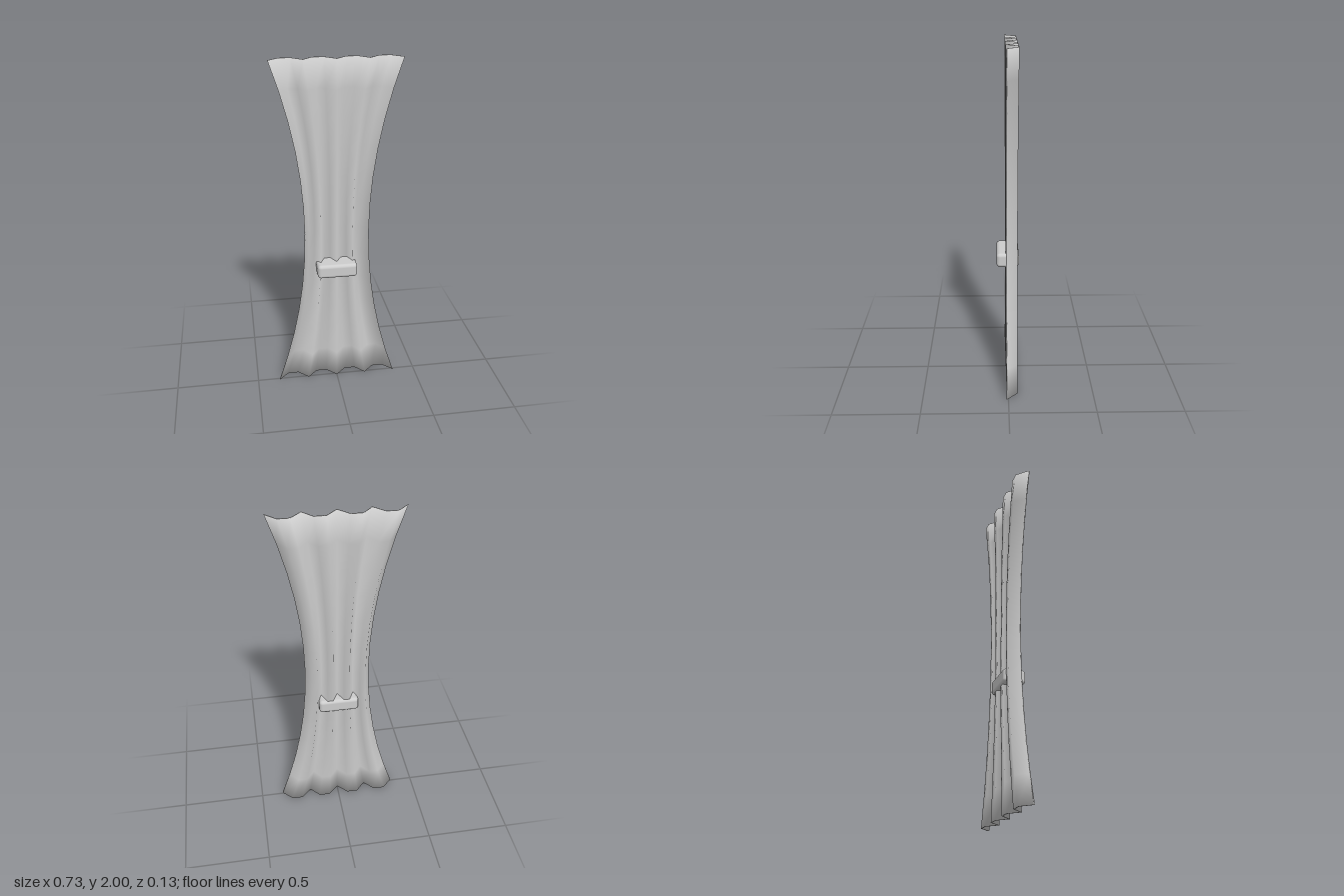
import * as THREE from 'three';
import { RoundedBoxGeometry } from 'three/addons/geometries/RoundedBoxGeometry.js';

const HEIGHT = 2, ROWS = 12, THICK = 0.007;

// Half of the pleat cross-section: [x, z of the front face]
const HALF = [[0.06, -0.048], [0.125, -0.048], [0.18, 0.012], [0.24, -0.048], [0.305, -0.048], [0.365, 0.012]];

function pleatedCloth() {
  const front = [...HALF.map(([x, z]) => [-x, z]).reverse(), [0, 0.012], ...HALF];
  const back = front.map(([x, z]) => [x, z - THICK]).reverse();
  const ring = [...front, ...back];
  const n = ring.length;
  const pos = [], index = [];
  const quad = (a, b, c, d) => index.push(a, b, c, a, c, d);

  // Stack the cross-section, gathered in a parabola toward the waist
  for (let r = 0; r <= ROWS; r++) {
    const t = (r / ROWS) * 2 - 1;
    const gather = 0.515 + 0.485 * t * t;
    for (const [x, z] of ring) pos.push(x * gather, (r / ROWS) * HEIGHT, z);
  }
  for (let r = 0; r < ROWS; r++) {
    for (let k = 0; k < n; k++) {
      const a = r * n + k, b = r * n + (k + 1) % n;
      quad(a, b, b + n, a + n);
    }
  }
  // Top and bottom hems
  const top = ROWS * n;
  for (let i = 0; i < front.length - 1; i++) {
    const j = n - 1 - i;
    quad(top + i, top + i + 1, top + j - 1, top + j);
    quad(j, j - 1, i + 1, i);
  }
  const geo = new THREE.BufferGeometry();
  geo.setAttribute('position', new THREE.Float32BufferAttribute(pos, 3));
  geo.setIndex(index);
  geo.computeVertexNormals();

  // Soften the hems by rolling their normals over the edge
  const normal = geo.attributes.normal, v = new THREE.Vector3();
  for (let k = 0; k < n; k++) {
    for (const [i, dir] of [[k, -1], [top + k, 1]]) {
      v.fromBufferAttribute(normal, i);
      v.y += dir * 0.8;
      v.normalize();
      normal.setXYZ(i, v.x, v.y, v.z);
    }
  }
  return geo;
}

export function createModel() {
  const group = new THREE.Group();
  group.name = 'curtain';
  const fabric = new THREE.MeshStandardMaterial({ color: 0xcccccc });
  fabric.name = 'pale grey';

  const cloth = new THREE.Mesh(pleatedCloth(), fabric);
  cloth.name = 'pleatedCloth';
  group.add(cloth);

  // Band holding the folds together
  const band = new THREE.Mesh(new RoundedBoxGeometry(0.235, 0.084, 0.13, 3, 0.02), fabric);
  band.name = 'tieBand';
  band.position.set(-0.002, 0.767, 0);
  group.add(band);

  return group;
}
